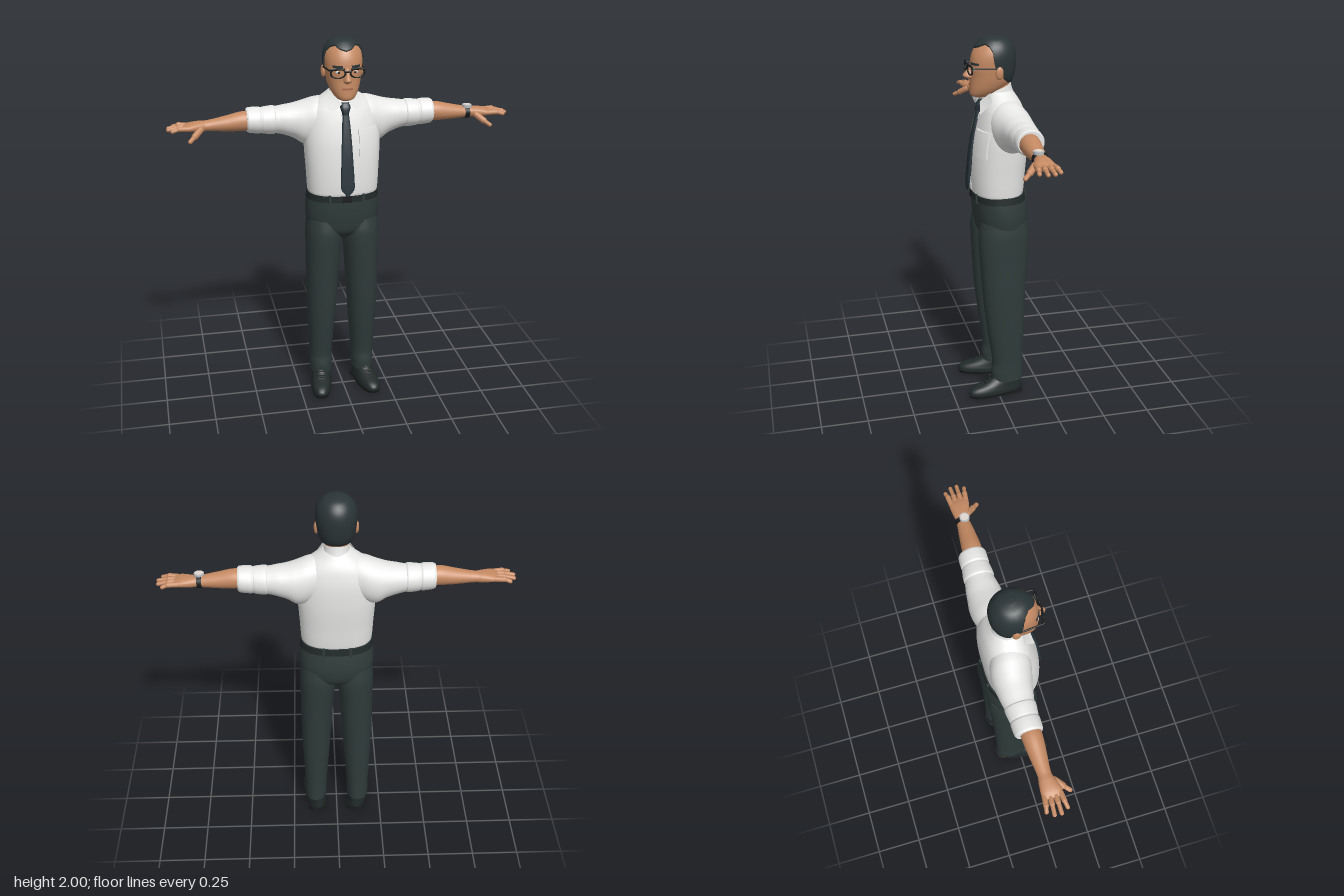
import * as THREE from 'three';

const mat = (name, color) => Object.assign(new THREE.MeshStandardMaterial({ color, side: THREE.DoubleSide }), { name });

// Ring: [t, centre, half width, front z, back z, roundness]; smooth interpolation along t
function sample(rings, t) {
  let i = 0;
  while (i < rings.length - 2 && t > rings[i + 1][0]) i++;
  const a = rings[i], b = rings[i + 1], o = rings[i - 1] || a, e = rings[i + 2] || b;
  const h = b[0] - a[0], u = THREE.MathUtils.clamp((t - a[0]) / h, 0, 1), u2 = u * u, u3 = u2 * u;
  return a.map((v, k) => {
    const m = (b[k] - o[k]) / (b[0] - o[0]) * h, n = (e[k] - v) / (e[0] - a[0]) * h;
    return (2 * u3 - 3 * u2 + 1) * v + (u3 - 2 * u2 + u) * m + (3 * u2 - 2 * u3) * b[k] + (u3 - u2) * n;
  });
}

function ringPoint(r, a) {
  const pw = (s) => Math.sign(s) * Math.abs(s) ** r[5];
  return [r[1] + r[2] * pw(Math.sin(a)), r[0], (r[3] + r[4]) / 2 + (r[3] - r[4]) / 2 * pw(Math.cos(a))];
}

// Surface through vertical rings, closed at both ends
function loft(rings, seg = 40, steps = 5) {
  const rows = [];
  for (let i = 0; i < rings.length - 1; i++)
    for (let k = 0; k < steps; k++) rows.push(sample(rings, THREE.MathUtils.lerp(rings[i][0], rings[i + 1][0], k / steps)));
  rows.push(rings[rings.length - 1]);
  const pos = [], idx = [];
  const addRow = (r) => { for (let i = 0; i < seg; i++) pos.push(...ringPoint(r, i / seg * Math.PI * 2)); };
  rows.forEach(addRow);
  for (let j = 0; j < rows.length - 1; j++) for (let i = 0; i < seg; i++) {
    const a = j * seg + i, b = j * seg + (i + 1) % seg;
    idx.push(a, b, b + seg, a, b + seg, a + seg);
  }
  [rows[0], rows[rows.length - 1]].forEach((r, top) => {
    const s = pos.length / 3;
    addRow(r);
    pos.push(r[1], r[0], (r[3] + r[4]) / 2);
    for (let i = 0; i < seg; i++) {
      const p = s + i, q = s + (i + 1) % seg;
      idx.push(s + seg, top ? p : q, top ? q : p);
    }
  });
  return build(pos, idx);
}

function build(pos, idx) {
  const g = new THREE.BufferGeometry();
  g.setAttribute('position', new THREE.Float32BufferAttribute(pos, 3));
  g.setIndex(idx);
  g.computeVertexNormals();
  return g;
}

// Same loft laid along x; centre and half width then describe y
const armLoft = (rings) => loft(rings.map((r) => [r[0], -r[1], ...r.slice(2)]), 28).rotateZ(-Math.PI / 2);

// Thin plate bent over the front of a lofted body
function plate(rings, w, h, d, x, y) {
  const g = new THREE.BoxGeometry(w, h, d, 8, 8, 1).translate(x, y, 0), p = g.attributes.position;
  for (let i = 0; i < p.count; i++) {
    const r = sample(rings, p.getY(i)), s = Math.min(1, Math.abs(p.getX(i) / r[2])) ** (1 / r[5]);
    p.setZ(i, p.getZ(i) + (r[3] + r[4]) / 2 + (r[3] - r[4]) / 2 * (1 - s * s) ** (r[5] / 2));
  }
  g.computeVertexNormals();
  return g;
}

function rod(a, b, r) {
  const A = new THREE.Vector3(...a), B = new THREE.Vector3(...b), d = B.clone().sub(A);
  const q = new THREE.Quaternion().setFromUnitVectors(new THREE.Vector3(0, 1, 0), d.clone().normalize());
  return new THREE.CapsuleGeometry(r, d.length(), 5, 12).applyQuaternion(q).translate(...A.add(B).multiplyScalar(0.5).toArray());
}

function mirror(geo) {
  const g = geo.clone().scale(-1, 1, 1), ix = g.index.array;
  for (let i = 0; i < ix.length; i += 3) [ix[i + 1], ix[i + 2]] = [ix[i + 2], ix[i + 1]];
  g.computeVertexNormals();
  return g;
}

const ball = (r, sx, sy, sz, x, y, z) => new THREE.SphereGeometry(r, 20, 14).scale(sx, sy, sz).translate(x, y, z);

export function createModel() {
  const root = new THREE.Group();
  root.name = 'officeMan';
  const skin = mat('skin', 0xc58a63), lip = mat('lips', 0xa0644a), hair = mat('hair', 0x2a3436);
  const shirt = mat('shirt', 0xe9e9e8), cloth = mat('trousers', 0x2f3b3a), tieM = mat('tie', 0x28343a);
  const leather = mat('leather', 0x222a2a), black = mat('frames', 0x1a1c1d), metal = mat('metal', 0xb9bdbf), white = mat('eyeWhite', 0xe0d8d0);
  const add = (name, geo, m) => {
    const mesh = new THREE.Mesh(geo, m);
    mesh.name = name;
    root.add(mesh);
  };
  const pair = (name, geo, m) => { add(name + 'Left', geo, m); add(name + 'Right', mirror(geo), m); };

  // Shirt body, sleeves and rolled cuffs
  const torso = [
    [1.17, 0, 0.182, 0.112, -0.148, 0.82], [1.195, 0, 0.187, 0.12, -0.154, 0.82], [1.3, 0, 0.193, 0.122, -0.162, 0.82],
    [1.4, 0, 0.199, 0.116, -0.17, 0.82], [1.48, 0, 0.202, 0.106, -0.172, 0.84], [1.56, 0, 0.197, 0.088, -0.168, 0.86],
    [1.62, 0, 0.184, 0.07, -0.155, 0.9], [1.66, 0, 0.15, 0.056, -0.14, 0.95], [1.7, 0, 0.095, 0.042, -0.115, 1], [1.72, 0, 0.07, 0.035, -0.1, 1]];
  add('shirtBody', loft(torso, 56), shirt);
  pair('sleeve', armLoft([
    [0.06, 1.58, 0.11, 0.045, -0.135, 1], [0.14, 1.56, 0.122, 0.048, -0.16, 0.95], [0.2, 1.548, 0.116, 0.036, -0.166, 0.95],
    [0.25, 1.557, 0.093, 0.022, -0.161, 0.95], [0.3, 1.563, 0.079, 0.012, -0.155, 0.95], [0.345, 1.565, 0.071, 0.003, -0.147, 1],
    [0.4, 1.566, 0.067, 0, -0.14, 1]]), shirt);
  pair('rolledCuff', armLoft([
    [0.345, 1.566, 0.069, 0.001, -0.144, 1], [0.355, 1.566, 0.075, 0.007, -0.15, 1], [0.41, 1.566, 0.07, 0.002, -0.143, 1],
    [0.42, 1.567, 0.067, -0.001, -0.139, 1], [0.43, 1.568, 0.07, 0.003, -0.143, 1], [0.485, 1.571, 0.066, 0.002, -0.14, 1],
    [0.496, 1.572, 0.06, -0.004, -0.133, 1]]), shirt);
  add('placket', plate(torso, 0.04, 0.42, 0.007, 0, 1.4), shirt);
  add('chestPocket', plate(torso, 0.1, 0.135, 0.018, 0.116, 1.463), shirt);
  add('pocketFlap', plate(torso, 0.104, 0.028, 0.026, 0.116, 1.522), shirt);

  // Collar band, taller at the back, with two pointed wings
  const band = loft([[1.66, 0, 0.078, 0.06, -0.112, 1], [1.7, 0, 0.068, 0.05, -0.1, 1], [1.728, 0, 0.063, 0.045, -0.094, 1]]);
  const bp = band.attributes.position;
  for (let i = 0; i < bp.count; i++) bp.setY(i, bp.getY(i) - bp.getZ(i) * 0.32);
  band.computeVertexNormals();
  add('collarBand', band, shirt);
  pair('collarWing', build([0.018, 1.668, 0.072, 0.066, 1.72, 0.028, 0.097, 1.675, 0.026, 0.08, 1.612, 0.085], [0, 3, 2, 0, 2, 1]), shirt);

  // Tie
  add('tieBlade', loft([
    [1.188, 0, 0.005, 0.146, 0.134, 0.6], [1.225, 0, 0.034, 0.145, 0.131, 0.6], [1.27, 0, 0.036, 0.142, 0.124, 0.6],
    [1.4, 0, 0.03, 0.13, 0.108, 0.6], [1.52, 0, 0.024, 0.11, 0.085, 0.6], [1.63, 0, 0.016, 0.085, 0.05, 0.6]], 24), tieM);
  add('tieKnot', loft([[1.612, 0, 0.015, 0.094, 0.05, 0.7], [1.648, 0, 0.026, 0.09, 0.04, 0.7], [1.67, 0, 0.023, 0.076, 0.03, 0.7]], 24), tieM);

  // Trousers
  add('trouserSeat', loft([
    [0.925, 0, 0.12, 0.05, -0.12, 0.9], [0.965, 0, 0.178, 0.088, -0.162, 0.86], [1.03, 0, 0.195, 0.102, -0.176, 0.84],
    [1.1, 0, 0.196, 0.108, -0.17, 0.82], [1.183, 0, 0.188, 0.11, -0.155, 0.82]], 56), cloth);
  pair('trouserLeg', loft([
    [0.09, 0.12, 0.06, 0.032, -0.14, 0.9], [0.14, 0.12, 0.061, 0.036, -0.14, 0.9], [0.2, 0.119, 0.062, 0.03, -0.14, 0.9],
    [0.4, 0.116, 0.074, 0.058, -0.146, 0.88], [0.6, 0.112, 0.084, 0.08, -0.152, 0.88], [0.8, 0.106, 0.091, 0.094, -0.162, 0.88],
    [0.95, 0.099, 0.098, 0.1, -0.17, 0.88], [1.03, 0.098, 0.092, 0.088, -0.16, 0.9]]), cloth);
  const belt = [[1.146, 0, 0.194, 0.116, -0.164, 0.82], [1.182, 0, 0.191, 0.116, -0.16, 0.82]];
  add('belt', loft(belt, 56, 2), leather);
  add('beltBuckle', plate(belt, 0.05, 0.036, 0.014, 0, 1.164), black);
  pair('frontBeltLoop', plate(belt, 0.012, 0.05, 0.016, 0.09, 1.163), cloth);
  pair('backBeltLoop', new THREE.BoxGeometry(0.012, 0.05, 0.014).translate(0.07, 1.163, -0.157), cloth);

  // Shoes, toes turned out a little
  const turn = (g) => g.rotateY(0.16).translate(0.118, 0, -0.05);
  pair('shoeUpper', turn(loft([
    [0.018, 0, 0.056, 0.222, -0.088, 0.85], [0.04, 0, 0.056, 0.22, -0.088, 0.88], [0.06, 0, 0.052, 0.195, -0.087, 0.9],
    [0.078, 0, 0.049, 0.14, -0.086, 0.92], [0.1, 0, 0.046, 0.095, -0.084, 1], [0.14, 0, 0.042, 0.065, -0.08, 1]])), leather);
  pair('shoeSole', turn(loft([[0.007, 0, 0.055, 0.22, -0.09, 0.85], [0.024, 0, 0.059, 0.228, -0.091, 0.85]], 40, 1)), black);
  pair('shoeHeel', turn(loft([[0, 0, 0.05, 0.02, -0.09, 0.7], [0.02, 0, 0.05, 0.02, -0.09, 0.7]], 32, 1)), black);
  for (let i = 0; i < 3; i++)
    pair('lace' + i, turn(rod([-0.018, 0.084 + i * 0.012, 0.13 - i * 0.02], [0.018, 0.084 + i * 0.012, 0.13 - i * 0.02], 0.004)), black);

  // Forearms and hands
  pair('forearm', armLoft([
    [0.44, 1.57, 0.05, -0.014, -0.114, 1], [0.52, 1.569, 0.051, -0.01, -0.112, 1], [0.6, 1.562, 0.041, -0.016, -0.104, 1],
    [0.7, 1.556, 0.028, -0.025, -0.093, 1], [0.735, 1.556, 0.027, -0.015, -0.098, 0.9], [0.785, 1.556, 0.021, 0, -0.103, 0.85],
    [0.82, 1.554, 0.012, -0.004, -0.1, 0.85]]), skin);
  [[0.875, -0.09, -0.102], [0.898, -0.064, -0.07], [0.9, -0.038, -0.036], [0.88, -0.013, -0.001]].forEach(([x, z0, z1], i) => {
    const mid = [0.845, 1.558, (z0 + z1) / 2];
    pair('fingerBase' + i, rod([0.795, 1.556, z0], mid, 0.0135), skin);
    pair('fingerTip' + i, rod(mid, [x - 0.002, 1.549, z1], 0.0105), skin);
  });
  pair('thumbBase', rod([0.735, 1.546, -0.022], [0.768, 1.52, 0.012], 0.017), skin);
  pair('thumbTip', rod([0.768, 1.52, 0.012], [0.793, 1.503, 0.04], 0.0115), skin);

  // Wristwatch on the left arm
  add('watchStrap', armLoft([[0.678, 1.557, 0.035, -0.019, -0.1, 1], [0.702, 1.556, 0.033, -0.02, -0.098, 1]]), black);
  add('watchCase', new THREE.CylinderGeometry(0.026, 0.026, 0.014, 28).translate(0.69, 1.59, -0.05), metal);
  add('watchDial', new THREE.CylinderGeometry(0.02, 0.02, 0.003, 28).translate(0.69, 1.598, -0.05), white);

  // Head and neck
  const head = [
    [1.69, 0, 0.028, 0.1, 0.03, 0.9], [1.7, 0, 0.046, 0.118, 0, 0.9], [1.73, 0, 0.068, 0.121, -0.045, 0.9],
    [1.765, 0, 0.082, 0.119, -0.085, 0.9], [1.8, 0, 0.09, 0.117, -0.102, 0.9], [1.85, 0, 0.096, 0.118, -0.111, 0.9],
    [1.9, 0, 0.098, 0.112, -0.112, 0.95], [1.94, 0, 0.089, 0.094, -0.103, 1], [1.97, 0, 0.068, 0.066, -0.081, 1],
    [1.985, 0, 0.045, 0.04, -0.056, 1], [1.992, 0, 0.012, 0.006, -0.02, 1]];
  add('head', loft(head, 48), skin);
  add('neck', loft([[1.62, 0, 0.062, 0.04, -0.09, 1], [1.7, 0, 0.058, 0.044, -0.086, 1], [1.79, 0, 0.062, 0.05, -0.092, 1]]), skin);
  add('nose', loft([
    [1.783, 0, 0.012, 0.128, 0.09, 1], [1.795, 0, 0.021, 0.152, 0.09, 1], [1.806, 0, 0.019, 0.157, 0.09, 1],
    [1.83, 0, 0.012, 0.138, 0.09, 1], [1.862, 0, 0.012, 0.12, 0.09, 1]], 24), skin);
  pair('ear', ball(0.034, 0.36, 1, 0.62, 0.1, 1.826, -0.012), skin);
  pair('brow', plate(head, 0.046, 0.011, 0.012, 0.046, 1.868), hair);
  pair('eye', ball(0.013, 1.2, 0.65, 0.5, 0.042, 1.84, 0.105), white);
  pair('iris', ball(0.006, 1, 1, 0.5, 0.042, 1.84, 0.111), black);
  add('mouth', plate(head, 0.056, 0.009, 0.008, 0, 1.755), lip);

  // Hair: shell over the skull down to a receding hairline
  const line = [[0, 1.94], [0.35, 1.948], [0.75, 1.964], [1.1, 1.955], [1.35, 1.93], [1.48, 1.88], [1.56, 1.84],
    [1.75, 1.845], [1.95, 1.795], [2.3, 1.775], [3.15, 1.768]];
  const hairline = (a) => {
    const i = line.findIndex((p) => p[0] > a), [a0, y0] = line[i - 1], [a1, y1] = line[i];
    return y0 + (y1 - y0) * (a - a0) / (a1 - a0);
  };
  const seg = 96, rows = 20, pos = [], idx = [];
  for (let j = 0; j <= rows; j++) for (let i = 0; i < seg; i++) {
    const a = i / seg * Math.PI * 2, u = Math.max(0, j - 1) / (rows - 1);
    const y = THREE.MathUtils.lerp(hairline(Math.min(a, Math.PI * 2 - a)), 1.992, 1 - (1 - u) ** 1.7);
    const p = ringPoint(sample(head, y), a), k = j ? 1.066 : 0.99;
    pos.push(p[0] * k, 1.87 + (p[1] - 1.87) * k, (p[2] + 0.005) * k - 0.005);
    if (j < rows) {
      const b = j * seg + i, c = j * seg + (i + 1) % seg;
      idx.push(b, c, c + seg, b, c + seg, b + seg);
    }
  }
  for (let i = 1; i < seg - 1; i++) idx.push(rows * seg, rows * seg + i, rows * seg + i + 1);
  add('hair', build(pos, idx), hair);

  // Glasses
  pair('glassesRim', new THREE.TorusGeometry(0.034, 0.0045, 8, 32).scale(1.08, 0.72, 1).rotateY(0.12).translate(0.05, 1.84, 0.13), black);
  pair('glassesTopBar', rod([0.02, 1.861, 0.133], [0.084, 1.859, 0.126], 0.005), black);
  pair('glassesArm', rod([0.088, 1.852, 0.124], [0.102, 1.848, -0.015], 0.0045), black);
  add('glassesBridge', rod([-0.015, 1.848, 0.136], [0.015, 1.848, 0.136], 0.0045), black);
  return root;
}
